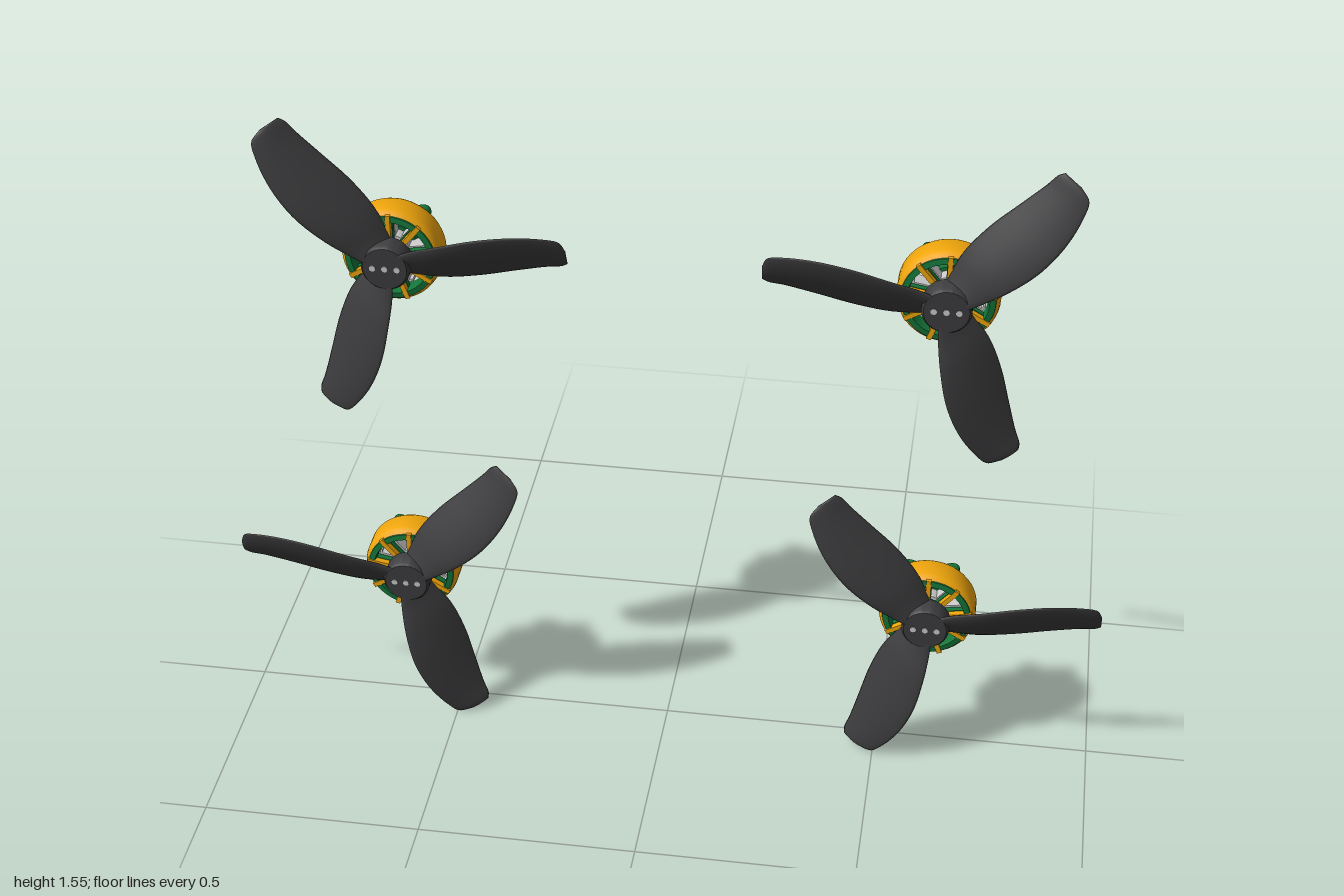
import * as THREE from 'three';
import { toCreasedNormals } from 'three/addons/utils/BufferGeometryUtils.js';

const material = (color) => new THREE.MeshStandardMaterial({ color });
const dark = material(0x3c3c3e);
const orange = material(0xf0a60c);
const green = material(0x14753a);
const grey = material(0xcccccc);

function add(parent, name, geometry, mat) {
  const mesh = new THREE.Mesh(geometry, mat);
  mesh.name = name;
  parent.add(mesh);
  return mesh;
}

// Solid of revolution around z from [radius, z] points, outer side running towards +z
function turned(points, segments = 48) {
  const g = new THREE.LatheGeometry(points.map(([r, z]) => new THREE.Vector2(r, z)), segments);
  return toCreasedNormals(g.rotateX(Math.PI / 2), 0.7);
}

// Cylinder lying along z between two depths
function disc(radius, z0, z1, segments = 32) {
  return new THREE.CylinderGeometry(radius, radius, z1 - z0, segments)
    .rotateX(Math.PI / 2).translate(0, 0, (z0 + z1) / 2);
}

// Twisted blade: edge curves lofted with thin cambered sections
function bladeGeometry(mirror) {
  const curve = (pts) => new THREE.CatmullRomCurve3(pts.map((p) => new THREE.Vector3(...p)));
  const leading = curve([[0.02, 0.03, 0.078], [0.06, 0.05, 0.084], [0.12, 0.074, 0.098],
    [0.2, 0.099, 0.104], [0.28, 0.109, 0.097], [0.35, 0.104, 0.083], [0.382, 0.094, 0.074],
    [0.394, 0.068, 0.063]]);
  const trailing = curve([[0.02, -0.026, 0.04], [0.06, -0.033, 0.034], [0.12, -0.038, 0.03],
    [0.2, -0.027, 0.029], [0.28, -0.006, 0.033], [0.35, 0.012, 0.038], [0.382, 0.018, 0.041],
    [0.395, 0.026, 0.044]]);
  const rows = 32, half = 8, ring = half * 2;
  const pos = [], index = [];
  for (let i = 0; i <= rows; i++) {
    const a = leading.getPoint(i / rows), b = trailing.getPoint(i / rows);
    const chord = b.clone().sub(a);
    const normal = new THREE.Vector3(0, chord.z, -chord.y).normalize();
    const thick = 0.008 * (1 - 0.72 * i / rows);
    for (let j = 0; j < ring; j++) {
      const angle = (j / ring) * Math.PI * 2;
      const t = (1 - Math.cos(angle)) / 2;
      const camber = 0.05 * chord.length() * Math.sin(Math.PI * t);
      const p = a.clone().addScaledVector(chord, t)
        .addScaledVector(normal, camber + thick * Math.sin(angle) * (1.2 - 0.5 * t));
      pos.push(p.x * mirror, p.y, p.z);
    }
  }
  const face = (a, b, c) => (mirror > 0 ? index.push(a, b, c) : index.push(a, c, b));
  for (let i = 0; i < rows; i++) {
    for (let j = 0; j < ring; j++) {
      const k = (j + 1) % ring;
      const a = i * ring + j, b = i * ring + k;
      face(a, a + ring, b);
      face(b, a + ring, b + ring);
    }
  }
  // Tip cap
  for (let j = 1; j < ring - 1; j++) face(rows * ring, rows * ring + j + 1, rows * ring + j);
  // Orient outward whichever way the loops run
  const g = new THREE.BufferGeometry();
  g.setAttribute('position', new THREE.Float32BufferAttribute(pos, 3));
  g.setIndex(index);
  g.computeVertexNormals();
  return g;
}

function propeller(mirror) {
  const group = new THREE.Group();
  group.name = 'propeller';
  const geometry = bladeGeometry(mirror);
  const bladeMaterial = dark.clone();
  bladeMaterial.side = THREE.DoubleSide;
  for (let i = 0; i < 3; i++) {
    add(group, 'blade', geometry, bladeMaterial).rotation.z = i * Math.PI * 2 / 3;
  }
  add(group, 'propellerHub', turned([[0, 0.03], [0.05, 0.03], [0.054, 0.034], [0.054, 0.074],
    [0.049, 0.081], [0, 0.081]]), dark);
  // Shaft end and two screws
  for (const x of [-0.027, 0, 0.027]) {
    add(group, 'hubScrew', disc(0.007, 0.07, 0.083, 16).translate(x, 0, 0), grey);
  }
  return group;
}

// Four-lobed mounting plate with screw holes
function mountPlate() {
  const pts = [];
  for (let i = 0; i < 96; i++) {
    const a = (i / 96) * Math.PI * 2;
    const r = 0.044 + 0.044 * Math.abs(Math.sin(2 * a)) ** 3;
    pts.push(new THREE.Vector2(r * Math.cos(a), r * Math.sin(a)));
  }
  const shape = new THREE.Shape(pts);
  const hole = (x, y, r) => shape.holes.push(new THREE.Path().absarc(x, y, r, 0, Math.PI * 2, true));
  hole(0, 0, 0.022);
  for (const x of [-0.049, 0.049]) for (const y of [-0.049, 0.049]) hole(x, y, 0.007);
  const g = new THREE.ExtrudeGeometry(shape, { depth: 0.02, bevelEnabled: false, curveSegments: 16 });
  return toCreasedNormals(g.translate(0, 0, -0.096), 0.6);
}

function motor() {
  const group = new THREE.Group();
  group.name = 'motor';
  // Rotating bell
  add(group, 'bell', turned([[0.1, -0.046], [0.107, -0.044], [0.111, -0.036], [0.111, 0.01],
    [0.109, 0.02], [0.104, 0.027], [0.098, 0.03], [0.096, 0.026], [0.1, -0.046]]), orange);
  add(group, 'bellFrontRing', turned([[0.1, -0.005], [0.104, 0.02], [0.101, 0.031],
    [0.088, 0.033], [0.085, 0.02], [0.086, -0.005], [0.1, -0.005]]), green);
  add(group, 'magnetRing', turned([[0.1, -0.044], [0.1, -0.004], [0.086, -0.004],
    [0.086, -0.044], [0.1, -0.044]]), grey);
  add(group, 'bellHub', disc(0.036, 0.008, 0.032), green);
  const count = 9;
  for (let i = 0; i < count; i++) {
    const arm = new THREE.Group();
    arm.name = 'motorArm';
    arm.rotation.z = (i / count) * Math.PI * 2 + 0.17;
    add(arm, 'bellSpoke', new THREE.BoxGeometry(0.075, 0.011, 0.014).translate(0.067, 0, 0.028), orange);
    add(arm, 'spokeWeb', new THREE.BoxGeometry(0.06, 0.014, 0.014).translate(0.06, 0, 0.014), green);
    // Stator tooth with its pole shoe
    add(arm, 'statorTooth', new THREE.BoxGeometry(0.045, 0.013, 0.036).translate(0.056, 0, -0.018), grey);
    add(arm, 'poleShoe', new THREE.BoxGeometry(0.005, 0.03, 0.036).translate(0.08, 0, -0.018), grey);
    group.add(arm);
  }
  add(group, 'statorCore', disc(0.038, -0.036, 0), grey);
  // Fixed base
  add(group, 'baseStem', turned([[0.022, -0.08], [0.046, -0.08], [0.044, -0.066], [0.046, -0.04],
    [0.046, -0.03], [0.022, -0.03], [0.022, -0.08]]), green);
  add(group, 'mountPlate', mountPlate(), green);
  add(group, 'bearing', turned([[0.012, -0.093], [0.022, -0.093], [0.022, -0.07], [0.012, -0.07],
    [0.012, -0.093]], 32), grey);
  add(group, 'shaft', disc(0.007, -0.105, 0.07, 20), grey);
  return group;
}

export function createModel() {
  const model = new THREE.Group();
  model.name = 'rotorSet';
  for (const side of [-1, 1]) {
    for (const row of [-1, 1]) {
      const unit = new THREE.Group();
      unit.name = `${row > 0 ? 'upper' : 'lower'}${side > 0 ? 'Left' : 'Right'}Rotor`;
      unit.position.set(side * 0.605, row > 0 ? 1.221 : 0.374, 0);
      // Diagonal pairs share the same handedness
      unit.add(propeller(-side * row), motor());
      model.add(unit);
    }
  }
  return model;
}
